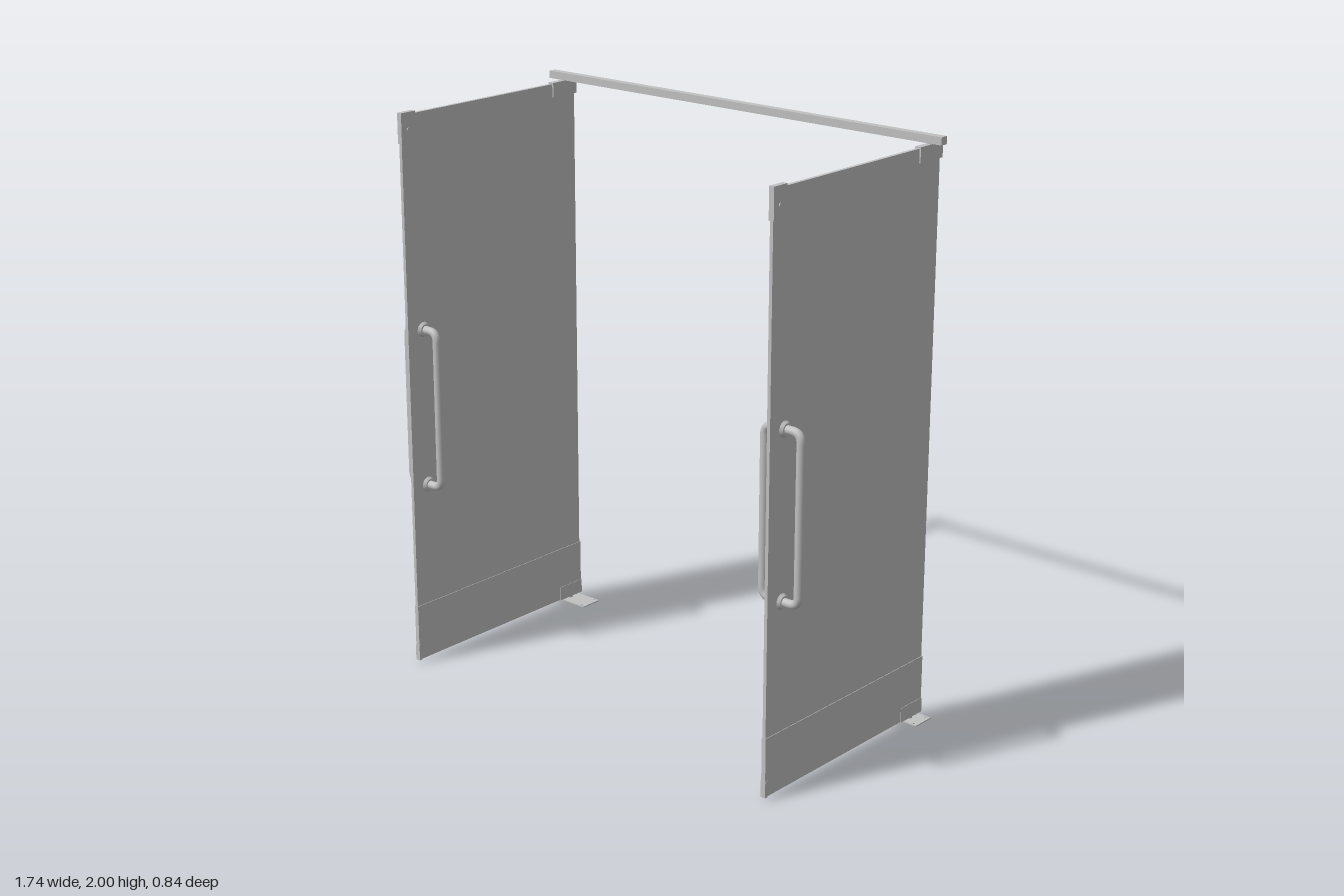
import * as THREE from 'three';

const metal = new THREE.MeshStandardMaterial({ color: 0xc0c0c0 });
metal.name = 'satin grey';

function add(parent, name, geometry, x = 0, y = 0, z = 0) {
  const mesh = new THREE.Mesh(geometry, metal);
  mesh.name = name;
  mesh.position.set(x, y, z);
  parent.add(mesh);
  return mesh;
}

// box given by its thickness in x and its extents in y and z
function slab(parent, name, thick, y0, y1, z0, z1) {
  return add(parent, name, new THREE.BoxGeometry(thick, y1 - y0, z1 - z0), 0, (y0 + y1) / 2, (z0 + z1) / 2);
}

// U-shaped pull bar standing off the door towards +x
function handlePath() {
  const out = 0.07, low = 0.656, high = 1.217, r = 0.032;
  const p = (x, y) => new THREE.Vector3(x, y, 0);
  const path = new THREE.CurvePath();
  path.add(new THREE.LineCurve3(p(0.004, low), p(out - r, low)));
  path.add(new THREE.QuadraticBezierCurve3(p(out - r, low), p(out, low), p(out, low + r)));
  path.add(new THREE.LineCurve3(p(out, low + r), p(out, high - r)));
  path.add(new THREE.QuadraticBezierCurve3(p(out, high - r), p(out, high), p(out - r, high)));
  path.add(new THREE.LineCurve3(p(out - r, high), p(0.004, high)));
  return path;
}

// floor plate with screw holes, lying flat
function floorPlateGeometry() {
  const w = 0.08, d = 0.042;
  const shape = new THREE.Shape();
  shape.moveTo(-w, -d).lineTo(w, -d).lineTo(w, d).lineTo(-w, d).closePath();
  for (const x of [-0.065, 0.027, 0.065]) {
    for (const y of [-0.033, 0.033]) {
      shape.holes.push(new THREE.Path().absarc(x, y, 0.004, 0, Math.PI * 2, true));
    }
  }
  const geometry = new THREE.ExtrudeGeometry(shape, { depth: 0.004, bevelEnabled: false, curveSegments: 6 });
  return geometry.rotateX(-Math.PI / 2);
}

function buildDoor() {
  const door = new THREE.Group();
  slab(door, 'doorPanel', 0.012, 0.012, 1.966, -0.41, 0.418);
  slab(door, 'kickPlate', 0.016, 0.012, 0.215, -0.414, 0.419);

  // corner fittings
  slab(door, 'topPivotBracket', 0.022, 1.92, 1.971, -0.418, -0.3);
  slab(door, 'bottomPivotBracket', 0.019, 0.01, 0.062, -0.417, -0.3);
  slab(door, 'topCatchPlate', 0.019, 1.87, 1.974, 0.358, 0.42);
  slab(door, 'bottomCatchPlate', 0.019, 0.01, 0.068, 0.408, 0.42);
  const bolt = add(door, 'catchBolt', new THREE.CylinderGeometry(0.007, 0.007, 0.025, 12), 0, 1.915, 0.39);
  bolt.rotation.z = Math.PI / 2;

  // pivot pins
  add(door, 'topPin', new THREE.CylinderGeometry(0.009, 0.009, 0.03, 16), 0, 1.972, -0.363);
  add(door, 'bottomPin', new THREE.CylinderGeometry(0.009, 0.009, 0.02, 16), 0, 0.012, -0.363);

  // pull handles on both faces, with their collars
  const tube = new THREE.TubeGeometry(handlePath(), 80, 0.0145, 14, false);
  for (const turn of [0, Math.PI]) {
    const handle = new THREE.Group();
    handle.name = 'pullHandle';
    handle.position.z = 0.348;
    handle.rotation.y = turn;
    add(handle, 'handleBar', tube);
    for (const y of [0.656, 1.217]) {
      const collar = add(handle, 'handleCollar', new THREE.CylinderGeometry(0.02, 0.027, 0.01, 20), 0.011, y, 0);
      collar.rotation.z = -Math.PI / 2;
    }
    door.add(handle);
  }
  return door;
}

export function createModel() {
  const model = new THREE.Group();
  model.name = 'doubleDoor';

  for (const side of [-1, 1]) {
    const door = buildDoor();
    door.name = side > 0 ? 'leftDoor' : 'rightDoor';
    door.position.x = side * 0.787;
    model.add(door);
    const plate = add(model, 'floorPlate', floorPlateGeometry(), side * 0.762, 0, -0.367);
    if (side < 0) plate.rotation.y = Math.PI;
  }

  // header rail joining the pivots
  add(model, 'headerRail', new THREE.BoxGeometry(1.68, 0.026, 0.028), 0, 1.987, -0.363);
  return model;
}
